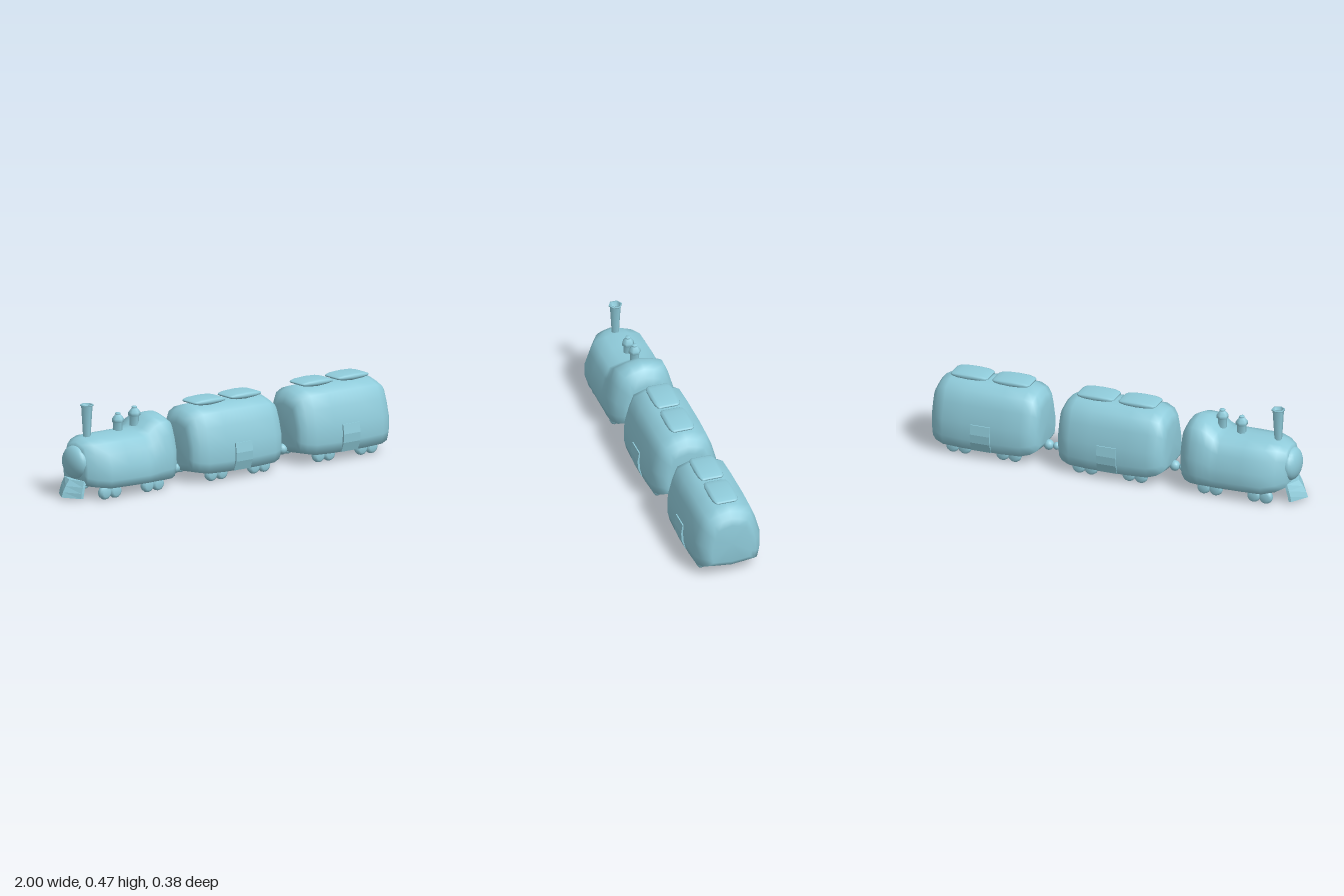
import * as THREE from 'three';

const material = new THREE.MeshStandardMaterial({ color: 0x8fcbda });
const thin = new THREE.MeshStandardMaterial({ color: 0x8fcbda, side: THREE.DoubleSide });

// Half cross-sections as [width, height] from bottom centre to top centre, 0..1
const BODY = [[0, 0], [0.6, 0.03], [0.93, 0.05], [1, 0.2], [0.99, 0.45], [0.85, 0.7], [0.69, 0.9], [0.35, 0.96], [0, 1]];
const VENT = [[0, 0], [0.75, 0.02], [0.95, 0.2], [1, 0.5], [0.95, 0.8], [0.75, 0.95], [0, 1]];

// Closed, smooth skin along x; each station is [x, halfWidth, yBottom, yTop]
function loft(half, stations) {
  const ring = [...half, ...half.slice(1, -1).reverse().map(([w, t]) => [-w, t])];
  const n = ring.length, pos = [], idx = [];
  for (const [x, hz, yb, yt] of stations)
    for (const [w, t] of ring) pos.push(x, yb + t * (yt - yb), w * hz);
  const last = stations.length - 1, c = stations.length * n;
  for (const s of [stations[0], stations[last]]) pos.push(s[0], (s[2] + s[3]) / 2, 0);
  for (let j = 0; j < n; j++) {
    const k = (j + 1) % n;
    for (let i = 0; i < last; i++) {
      const a = i * n + j, b = i * n + k;
      idx.push(a, a + n, b, b, a + n, b + n);
    }
    idx.push(c, j, k, c + 1, last * n + k, last * n + j);
  }
  const g = new THREE.BufferGeometry();
  g.setAttribute('position', new THREE.Float32BufferAttribute(pos, 3));
  g.setIndex(idx);
  g.computeVertexNormals();
  return g;
}

function add(parent, name, geometry, x = 0, y = 0, z = 0, mat = material) {
  const mesh = new THREE.Mesh(geometry, mat);
  mesh.name = name;
  mesh.position.set(x, y, z);
  parent.add(mesh);
  return mesh;
}

const lathe = (points, sides) =>
  new THREE.LatheGeometry(points.map(([r, y]) => new THREE.Vector2(r, y)), sides);

// Four close pairs of small rounded wheels under one vehicle
const wheelGeometry = lathe([[0, -0.02], [0.022, -0.02], [0.033, -0.012], [0.036, 0], [0.033, 0.012], [0.022, 0.02], [0, 0.02]], 14)
  .rotateX(Math.PI / 2);
function addWheels(parent, cx) {
  for (const side of [-1, 1])
    for (const dx of [-0.168, -0.103, 0.103, 0.168])
      add(parent, 'wheel', wheelGeometry, cx + dx, 0.038, side * 0.126);
}

// Curved side door, a thin profile extruded along x
function doorGeometry() {
  const s = new THREE.Shape([[0.155, 0.047], [0.168, 0.047], [0.186, 0.095], [0.19, 0.14],
    [0.182, 0.19], [0.176, 0.19], [0.18, 0.14], [0.175, 0.095]].map(([z, y]) => new THREE.Vector2(z, y)));
  return new THREE.ExtrudeGeometry(s, { depth: 0.105, bevelEnabled: false })
    .translate(0, 0, -0.0525).rotateY(-Math.PI / 2);
}

function createCarriage(cx) {
  const car = new THREE.Group();
  car.name = 'carriage';
  const end = [[0.2925, 0.105, 0.085, 0.3], [0.28, 0.13, 0.06, 0.335], [0.255, 0.155, 0.045, 0.365], [0.21, 0.174, 0.034, 0.383]];
  const stations = [
    ...end.map(([x, ...r]) => [-x, ...r]),
    [-0.1, 0.178, 0.03, 0.385], [0.1, 0.178, 0.03, 0.385],
    ...[...end].reverse(),
  ];
  add(car, 'carriageBody', loft(BODY, stations), cx);
  // Lens-shaped roof hatches
  const vent = loft(VENT, [[-0.1, 0.05, 0.388, 0.396], [-0.09, 0.06, 0.384, 0.4], [-0.06, 0.067, 0.378, 0.407],
    [0, 0.068, 0.374, 0.41], [0.06, 0.067, 0.378, 0.407], [0.09, 0.06, 0.384, 0.4], [0.1, 0.05, 0.388, 0.396]]);
  for (const dx of [-0.113, 0.113]) add(car, 'roofHatch', vent, cx + dx);
  const door = doorGeometry();
  add(car, 'rightDoor', door, cx).rotation.y = Math.PI;
  add(car, 'leftDoor', door, cx);
  addWheels(car, cx);
  return car;
}

// Curved V-shaped plough: each level is [y, tipX, wingX, halfWidth]
function ploughGeometry() {
  const levels = [[0.014, -1, -0.945, 0.09], [0.04, -0.99, -0.94, 0.089], [0.07, -0.973, -0.93, 0.086], [0.1, -0.95, -0.918, 0.08]];
  const pos = [], idx = [], n = 6;
  for (const [y, tip, wing, w] of levels)
    for (const [x, z] of [[tip, 0], [wing, w], [wing + 0.015, w], [tip + 0.035, 0], [wing + 0.015, -w], [wing, -w]])
      pos.push(x, y, z);
  for (let i = 0; i < levels.length - 1; i++)
    for (let j = 0; j < n; j++) {
      const a = i * n + j, b = i * n + (j + 1) % n;
      idx.push(a, b, a + n, b, b + n, a + n);
    }
  const top = (levels.length - 1) * n;
  for (const o of [0, top])
    idx.push(o, o + 1, o + 2, o, o + 2, o + 3, o, o + 3, o + 4, o, o + 4, o + 5);
  const g = new THREE.BufferGeometry();
  g.setAttribute('position', new THREE.Float32BufferAttribute(pos, 3));
  g.setIndex(idx);
  const flat = g.toNonIndexed();
  flat.computeVertexNormals();
  return flat;
}

function createEngine() {
  const engine = new THREE.Group();
  engine.name = 'engine';
  // Boiler rising into the arched cab
  add(engine, 'boilerAndCab', loft(BODY, [
    [-0.92, 0.085, 0.1, 0.26], [-0.908, 0.1, 0.075, 0.288], [-0.87, 0.135, 0.058, 0.306],
    [-0.81, 0.174, 0.05, 0.314], [-0.7, 0.177, 0.048, 0.315], [-0.57, 0.177, 0.046, 0.315],
    [-0.535, 0.177, 0.046, 0.33], [-0.5, 0.177, 0.045, 0.362], [-0.465, 0.177, 0.044, 0.378],
    [-0.42, 0.17, 0.044, 0.382], [-0.385, 0.15, 0.05, 0.366], [-0.358, 0.12, 0.068, 0.33],
    [-0.345, 0.095, 0.095, 0.29],
  ]));
  add(engine, 'nose', new THREE.SphereGeometry(1, 20, 14), -0.912, 0.185, 0).scale.set(0.048, 0.085, 0.09);
  add(engine, 'plough', ploughGeometry(), 0, 0, 0, thin);
  // Open flared chimney
  add(engine, 'chimney', lathe([[0.019, 0.3], [0.029, 0.463], [0.035, 0.465], [0.035, 0.472],
    [0.024, 0.472], [0.02, 0.44], [0, 0.44]], 6), -0.838, 0, 0, thin);
  // Six-sided domes with a neck and a small cap
  const dome = lathe([[0.024, -0.1], [0.024, -0.052], [0.031, -0.048], [0.031, -0.032], [0.016, -0.012],
    [0.012, -0.012], [0.014, -0.008], [0.014, -0.002], [0, 0]], 6);
  add(engine, 'frontDome', dome, -0.64, 0.403, 0);
  add(engine, 'rearDome', dome, -0.535, 0.422, 0);
  addWheels(engine, -0.655);
  return engine;
}

export function createModel() {
  const train = new THREE.Group();
  train.name = 'train';
  train.add(createEngine(), createCarriage(0.0225), createCarriage(0.7075));
  // Ball couplings between vehicles
  for (const cx of [-0.32, 0.364])
    for (const [dx, r] of [[-0.043, 0.027], [0, 0.02], [0.043, 0.027]])
      add(train, 'coupling', new THREE.SphereGeometry(r, 14, 10), cx + dx, 0.066, 0);
  return train;
}
